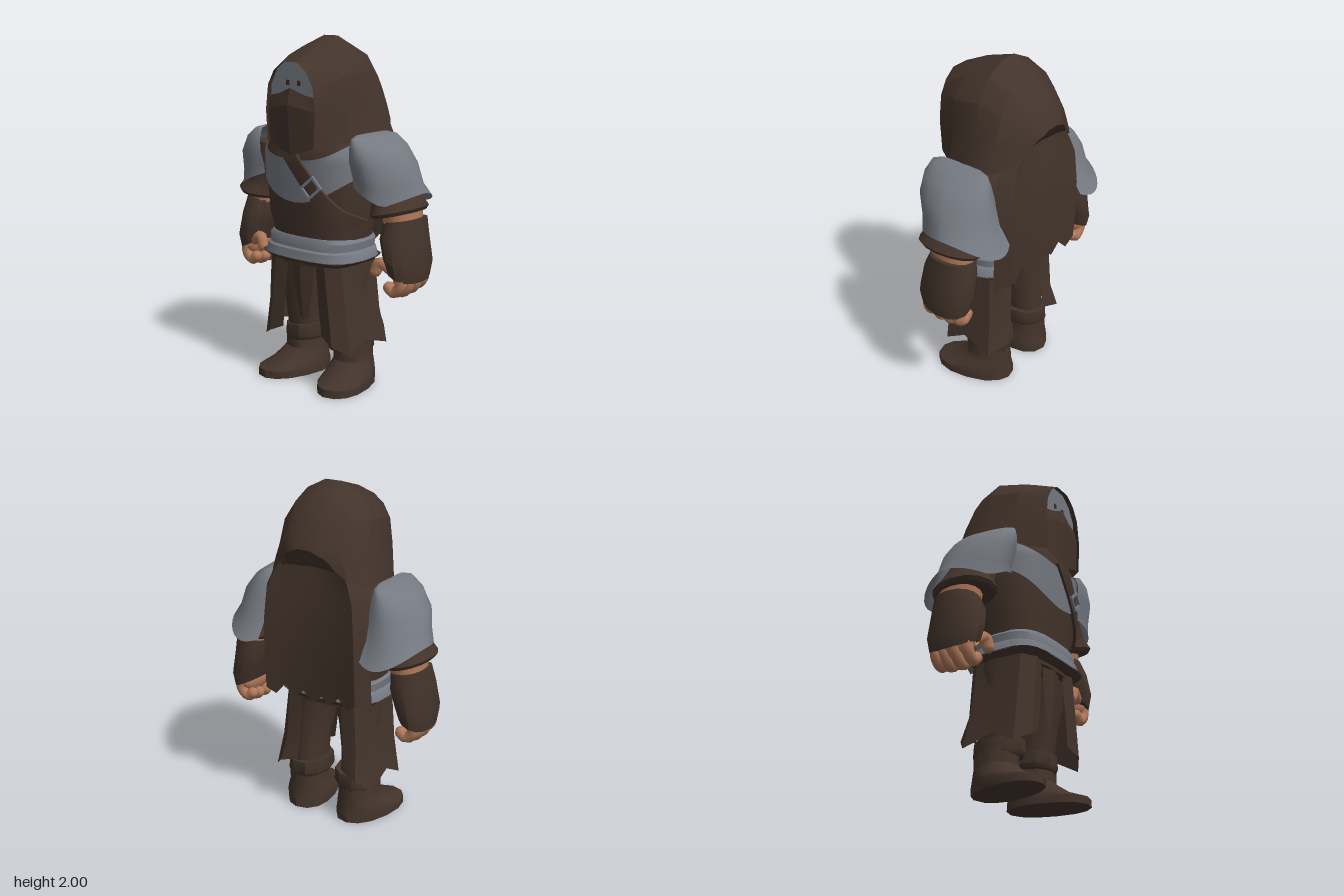
import * as THREE from 'three';
import { toCreasedNormals } from 'three/addons/utils/BufferGeometryUtils.js';

const mat = (name, color) => {
  const m = new THREE.MeshStandardMaterial({ color, side: THREE.DoubleSide });
  m.name = name;
  return m;
};

export function createModel() {
  const model = new THREE.Group();
  const brown = mat('dark brown cloth', 0x43342b);
  const grey = mat('steel grey', 0x757981);
  const skin = mat('skin', 0xb0795a);
  const dark = mat('eye brown', 0x3a2c26);

  const add = (parent, name, geo, material) => {
    const mesh = new THREE.Mesh(geo, material);
    mesh.name = name;
    parent.add(mesh);
    return mesh;
  };
  const vec2 = (pts) => pts.map((p) => new THREE.Vector2(...p));

  // Surface through rows of points, bottom row first; closed rows may be capped
  function loft(rows, { closed = true, cap = closed, crease = 0.65 } = {}) {
    const n = rows[0].length, pos = rows.flat(2), idx = [];
    for (let i = 0; i + 1 < rows.length; i++)
      for (let j = 0; j < (closed ? n : n - 1); j++) {
        const a = i * n + j, b = i * n + (j + 1) % n;
        idx.push(a, a + n, b, b, a + n, b + n);
      }
    if (cap) [0, rows.length - 1].forEach((r) => {
      const c = pos.length / 3;
      for (let k = 0; k < 3; k++) pos.push(rows[r].reduce((s, p) => s + p[k], 0) / n);
      for (let j = 0; j < n; j++) {
        const a = r * n + j, b = r * n + (j + 1) % n;
        if (r) idx.push(a, c, b); else idx.push(a, b, c);
      }
    });
    const g = new THREE.BufferGeometry();
    g.setAttribute('position', new THREE.Float32BufferAttribute(pos, 3));
    g.setIndex(idx);
    return toCreasedNormals(g, crease);
  }

  // Horizontal ring; p below 1 squares it, tilt raises it towards +x
  function ring(y, cx, cz, rx, rz, { n = 14, p = 0.9, tilt = 0 } = {}) {
    return Array.from({ length: n }, (_, j) => {
      const a = (j / n) * Math.PI * 2, c = Math.cos(a), s = Math.sin(a);
      const x = rx * Math.sign(c) * Math.abs(c) ** p;
      return [cx + x, y + tilt * x, cz + rz * Math.sign(s) * Math.abs(s) ** p];
    });
  }
  const rings = (list, o) => list.map((r) => ring(...r, o));

  // Torso: y, half width, half depth, centre z
  const P = 0.75;
  const body = [[0.72, 0.28, 0.2, 0.04], [0.88, 0.29, 0.215, 0.035], [1.0, 0.32, 0.225, 0.04],
    [1.2, 0.335, 0.25, 0.03], [1.36, 0.335, 0.26, 0.03], [1.46, 0.3, 0.22, 0.03], [1.54, 0.2, 0.14, 0.03]];
  const at = (y) => {
    let i = 0;
    while (i < body.length - 2 && y > body[i + 1][0]) i++;
    const t = (y - body[i][0]) / (body[i + 1][0] - body[i][0]);
    return body[i].map((v, k) => v + (body[i + 1][k] - v) * t);
  };
  const frontZ = (x, y) => {
    const [, rx, rz, cz] = at(y);
    return cz + rz * Math.max(0, 1 - Math.abs(x / rx) ** (2 / P)) ** (P / 2);
  };
  add(model, 'torso', loft(rings(body.map(([y, rx, rz, cz]) => [y, 0, cz, rx, rz]), { n: 28, p: P })), brown);

  // Chest plate hugging the torso front
  const chest = [];
  for (let r = 0; r <= 8; r++) {
    const row = [];
    for (let j = 0; j <= 28; j++) {
      const a = (j / 28) * Math.PI, c = Math.cos(a), s = Math.sin(a);
      const lo = 1.09 + 0.16 * Math.abs(c) ** 1.5, hi = 1.335 + 0.11 * c * c;
      const y = lo + ((hi - lo) * r) / 8, [, rx, rz, cz] = at(y);
      row.push([(rx + 0.008) * Math.sign(c) * Math.abs(c) ** P, y, cz + (rz + 0.01) * Math.abs(s) ** P]);
    }
    chest.push(row);
  }
  add(model, 'chestPlate', loft(chest, { closed: false, crease: 1 }), grey);

  // Diagonal strap and buckle
  const strap = [];
  for (let i = 0; i <= 12; i++) {
    const x = -0.03 + 0.34 * (i / 12), y = 1.38 - 0.41 * (i / 12);
    strap.push([[-0.046, 0.005], [-0.044, 0.024], [0, 0.026], [0.044, 0.024], [0.046, 0.005]].map(([w, h]) => {
      const px = x + w * 0.75, py = y + w * 0.66;
      return [px, py, frontZ(px, py) + h];
    }));
  }
  add(model, 'chestStrap', loft(strap, { closed: false }), brown);
  const frame = new THREE.Shape(vec2([[-0.055, -0.045], [0.055, -0.045], [0.055, 0.045], [-0.055, 0.045]]));
  frame.holes.push(new THREE.Path(vec2([[-0.041, -0.03], [-0.041, 0.03], [0.041, 0.03], [0.041, -0.03]])));
  const buckle = add(model, 'strapBuckle', new THREE.ExtrudeGeometry(frame, { depth: 0.015, bevelEnabled: false }), grey);
  buckle.position.set(0.14, 1.19, frontZ(0.14, 1.19) + 0.022);
  buckle.rotation.set(0, 0.15, 0.72);

  // Two-step belt and the square-cornered hem under it
  add(model, 'belt', loft(rings([[0.765, 0, 0.05, 0.325, 0.24], [0.815, 0, 0.048, 0.312, 0.232],
    [0.825, 0, 0.045, 0.3, 0.222], [0.87, 0, 0.042, 0.305, 0.224], [0.892, 0, 0.04, 0.285, 0.215]], { n: 24, p: 0.65 })), grey);
  add(model, 'hem', loft(rings([[0.74, 0, 0.045, 0.29, 0.215], [0.768, 0, 0.05, 0.325, 0.24]], { n: 24, p: 0.5 })), brown);
  add(model, 'frontCloth', loft([
    [[-0.03, 0.4, 0.2], [0, 0.39, 0.21], [0.03, 0.4, 0.2]],
    [[-0.075, 0.62, 0.21], [0, 0.61, 0.235], [0.075, 0.62, 0.21]],
    [[-0.09, 0.78, 0.21], [0, 0.78, 0.24], [0.09, 0.78, 0.21]]], { closed: false, crease: 0.2 }), brown);

  // Hood: arches from the face opening to the back and under its rim, each as half from side to crown
  const arches = [
    [0.31, [[0.17, 1.4], [0.183, 1.6], [0.165, 1.74], [0.12, 1.82], [0.055, 1.87]]],
    [0.15, [[0.29, 1.42], [0.265, 1.62], [0.24, 1.79], [0.16, 1.89], [0.05, 1.945]]],
    [-0.03, [[0.335, 1.45], [0.285, 1.63], [0.258, 1.82], [0.17, 1.94], [0.05, 2.0]]],
    [-0.16, [[0.325, 1.47], [0.275, 1.63], [0.235, 1.78], [0.16, 1.89], [0.05, 1.94]]],
    [-0.27, [[0.245, 1.52], [0.22, 1.6], [0.18, 1.7], [0.13, 1.77], [0.05, 1.81]]],
    [-0.33, [[0.17, 1.58, 0.035], [0.15, 1.61, 0.03], [0.12, 1.64, 0.015], [0.08, 1.66], [0.04, 1.675]]],
    [-0.24, [[0.21, 1.53], [0.16, 1.54], [0.11, 1.55], [0.07, 1.555], [0.03, 1.56]]]];
  const hood = arches.map(([z, half]) => [
    ...half.map(([x, y, dz = 0]) => [x, y, z + dz]), ...half.slice().reverse().map(([x, y, dz = 0]) => [-x, y, z + dz])]);
  add(model, 'hood', loft(hood.reverse(), { closed: false, crease: 0.5 }), brown);

  // Face filling the hood opening, eyes and ridged mask
  const face = new THREE.Shape(vec2([[-0.175, 1.6], [0.175, 1.6], [0.167, 1.74], [0.122, 1.825], [0.056, 1.877],
    [-0.056, 1.877], [-0.122, 1.825], [-0.167, 1.74]]));
  add(model, 'face', new THREE.ExtrudeGeometry(face, { depth: 0.14, bevelEnabled: false }), grey).position.z = 0.14;
  for (const s of [-1, 1])
    add(model, 'eye', new THREE.BoxGeometry(0.022, 0.028, 0.008), dark).position.set(0.04 * s, 1.755, 0.28);
  add(model, 'mask', loft([
    [[-0.17, 1.41, 0.295], [-0.09, 1.385, 0.3], [0, 1.355, 0.312], [0.09, 1.385, 0.3], [0.17, 1.41, 0.295]],
    [[-0.18, 1.6, 0.295], [-0.1, 1.62, 0.313], [0, 1.64, 0.332], [0.1, 1.62, 0.313], [0.18, 1.6, 0.295]],
    [[-0.17, 1.68, 0.285], [-0.09, 1.695, 0.295], [0, 1.73, 0.31], [0.09, 1.695, 0.295], [0.17, 1.68, 0.285]],
  ], { closed: false, crease: 0.2 }), brown);

  // Cape with curled edges and a torn lower edge
  const tears = [0.75, 0.82, 0.77, 0.83, 0.77, 0.81, 0.76, 0.82, 0.77, 0.84, 0.77, 0.8, 0.74];
  const cape = [[0, 0.36, -0.25], [1.0, 0.36, -0.262], [1.2, 0.355, -0.265], [1.4, 0.335, -0.255], [1.5, 0.29, -0.24], [1.64, 0.2, -0.23]]
    .map(([y, w, z]) => tears.map((t, i) => {
      const u = i / 6 - 1, edge = Math.abs(u) === 1;
      return [u * w, y || t, edge ? z + 0.05 : z - 0.045 * u * u];
    }));
  add(model, 'cape', loft(cape.reverse(), { closed: false, crease: 0.8 }), brown);

  // Arm, leg and coat panel of one side
  function buildSide(name, sign) {
    const side = new THREE.Group();
    side.name = name;
    side.scale.x = sign;
    model.add(side);

    // Shoulder plate: shell open towards the body, lower edge cut back in front and drawn to a point behind
    const plate = [[1.115, 0.43, -0.065, 0.2, 0.262, 1], [1.2, 0.425, -0.03, 0.178, 0.23, 0.6], [1.32, 0.415, 0, 0.162, 0.23, 0.2],
      [1.415, 0.39, 0.015, 0.117, 0.215, 0], [1.468, 0.36, 0.02, 0.065, 0.19, 0], [1.485, 0.34, 0.02, 0.02, 0.13, 0], [1.486, 0.336, 0.02, 0.002, 0.02, 0]]
      .map(([y, cx, cz, rx, rz, k]) => Array.from({ length: 25 }, (_, j) => {
        const a = (j / 12 - 1) * 2.0, c = Math.cos(a), s = Math.sin(a);
        const x = c < 0 ? cx + ((cx - 0.335) * c) / 0.42 : cx + rx * c;
        const front = c > 0.5 ? 0.1 * (c - 0.5) : 0.1 * (0.5 - c);
        const back = 0.06 * c * c - 0.045 * s * s;
        return [x, y + k * (back + (front - back) * (s + 1) / 2), cz + rz * Math.sign(s) * Math.abs(s) ** 1.2];
      }));
    add(side, 'shoulderPlate', loft(plate, { closed: false, crease: 1 }), grey);

    add(side, 'sleeve', loft(rings([[1.05, 0.505, -0.025, 0.12, 0.185], [1.07, 0.505, -0.025, 0.132, 0.198], [1.12, 0.49, -0.025, 0.115, 0.17],
      [1.2, 0.45, -0.02, 0.1, 0.16], [1.38, 0.38, 0.01, 0.06, 0.15]], { tilt: 0.22, p: 0.95 })), brown);
    add(side, 'forearm', loft(rings([[0.95, 0.515, -0.05, 0.09, 0.12], [1.12, 0.505, -0.045, 0.095, 0.14]], { n: 16 })), skin);
    add(side, 'gauntlet', loft([
      ring(0.72, 0.565, -0.035, 0.085, 0.155, { tilt: -0.45 }),
      ring(0.8, 0.56, -0.035, 0.103, 0.175, { tilt: -0.3 }),
      ring(0.92, 0.532, -0.04, 0.11, 0.165),
      ring(1.02, 0.525, -0.055, 0.105, 0.135, { tilt: 0.12 })]), brown);

    // Hand with curled fingers
    const palm = add(side, 'palm', new THREE.SphereGeometry(1, 14, 10), skin);
    palm.scale.set(0.06, 0.08, 0.13);
    palm.position.set(0.57, 0.72, -0.03);
    const digit = (label, pts, r) => {
      const v = pts.map((p) => new THREE.Vector3(...p));
      add(side, label, new THREE.TubeGeometry(new THREE.CatmullRomCurve3(v), 8, r, 8), skin);
      add(side, label + 'Tip', new THREE.SphereGeometry(r, 8, 6), skin).position.copy(v[v.length - 1]);
    };
    [0.07, 0, -0.07, -0.135].forEach((z, i) => {
      const d = [0.005, -0.005, 0, 0.015][i];
      digit('finger', [[0.595, 0.72, z], [0.59, 0.66 + d, z], [0.545, 0.622 + d, z], [0.512, 0.645 + d, z]], 0.034);
    });
    digit('thumb', [[0.53, 0.75, 0.07], [0.46, 0.785, 0.085], [0.435, 0.735, 0.09]], 0.034);

    // Trouser leg and boot
    add(side, 'trouserLeg', loft(rings([[0.24, 0.17, -0.02, 0.095, 0.12], [0.45, 0.17, 0, 0.105, 0.13], [0.6, 0.165, 0.02, 0.125, 0.15],
      [0.77, 0.145, 0.03, 0.14, 0.17]])), brown);
    add(side, 'bootCuff', loft(rings([[0.205, 0.165, -0.02, 0.115, 0.14], [0.225, 0.163, -0.02, 0.125, 0.15], [0.3, 0.163, -0.02, 0.122, 0.145]],
      { n: 10, tilt: -0.08 })), brown);
    const boot = add(side, 'boot', loft(rings([[0, 0, 0.065, 0.14, 0.24], [0.045, 0, 0.065, 0.143, 0.238], [0.08, 0, 0.018, 0.133, 0.18],
      [0.125, 0, -0.015, 0.117, 0.145], [0.15, 0, -0.027, 0.108, 0.132], [0.24, 0, -0.027, 0.108, 0.132]])), brown);
    boot.position.x = 0.187;
    boot.rotation.y = 0.25;

    // Coat panel wrapped around the outside of the leg
    add(side, 'coatPanel', loft([
      [[0.15, 0.32, 0.22], [0.24, 0.28, 0.24], [0.33, 0.23, 0.18], [0.32, 0.3, 0.05], [0.335, 0.24, -0.14], [0.26, 0.31, -0.21], [0.16, 0.33, -0.18]],
      [[0.135, 0.45, 0.225], [0.22, 0.45, 0.24], [0.295, 0.45, 0.18], [0.3, 0.45, 0.05], [0.295, 0.45, -0.12], [0.24, 0.45, -0.17], [0.15, 0.45, -0.165]],
      [[0.1, 0.78, 0.22], [0.18, 0.78, 0.24], [0.265, 0.78, 0.19], [0.28, 0.78, 0.05], [0.265, 0.78, -0.1], [0.22, 0.78, -0.16], [0.13, 0.78, -0.16]],
    ].map((r) => r.reverse()), { closed: false, crease: 0.4 }), brown);
  }
  buildSide('leftSide', 1);
  buildSide('rightSide', -1);
  return model;
}
